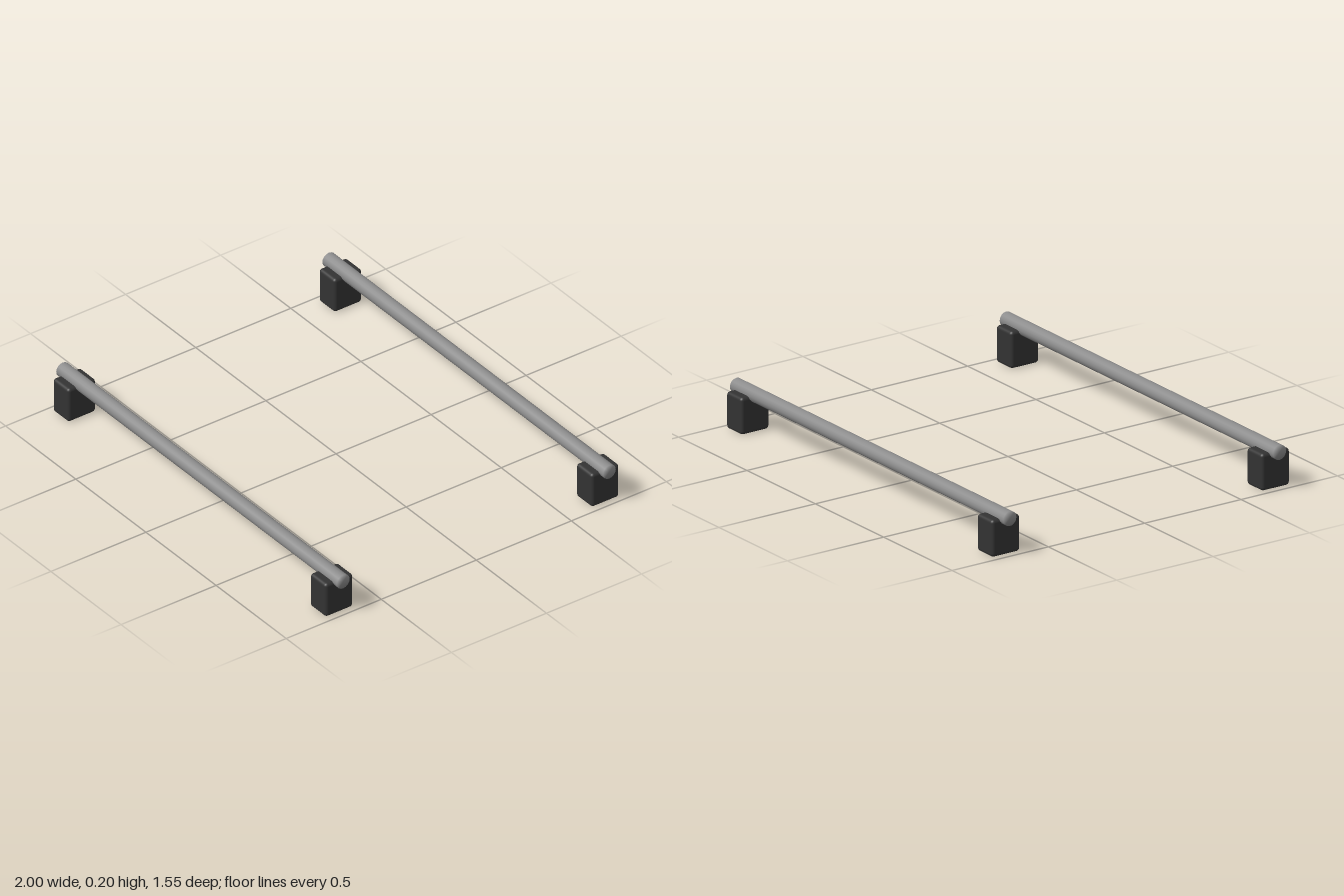
import * as THREE from 'three';
import { mergeVertices } from 'three/addons/utils/BufferGeometryUtils.js';
import { RoundedBoxGeometry } from 'three/addons/geometries/RoundedBoxGeometry.js';

export function createModel() {
  const model = new THREE.Group();
  model.name = 'roofRails';

  const metal = new THREE.MeshStandardMaterial({ color: 0x8c8c8c });
  metal.name = 'grey metal';
  const rubber = new THREE.MeshStandardMaterial({ color: 0x333333 });
  rubber.name = 'dark rubber';

  // Round bar along x, with normals blended softly over its end rims
  let barGeometry = new THREE.CylinderGeometry(0.034, 0.034, 2, 16);
  barGeometry.deleteAttribute('normal');
  barGeometry.deleteAttribute('uv');
  barGeometry = mergeVertices(barGeometry);
  barGeometry.computeVertexNormals();
  barGeometry.rotateZ(Math.PI / 2);

  // Softly rounded foot block
  const footGeometry = new RoundedBoxGeometry(0.115, 0.167, 0.146, 3, 0.015);

  // Front and back rails, each carried by two feet
  for (const [side, z] of [['front', 0.7], ['back', -0.7]]) {
    const rail = new THREE.Group();
    rail.name = side + 'Rail';
    rail.position.z = z;

    const bar = new THREE.Mesh(barGeometry, metal);
    bar.name = side + 'Bar';
    bar.position.y = 0.17;
    rail.add(bar);

    for (const [end, x] of [['Left', 0.917], ['Right', -0.917]]) {
      const foot = new THREE.Mesh(footGeometry, rubber);
      foot.name = side + end + 'Foot';
      foot.position.set(x, 0.0835, 0);
      rail.add(foot);
    }
    model.add(rail);
  }
  return model;
}
